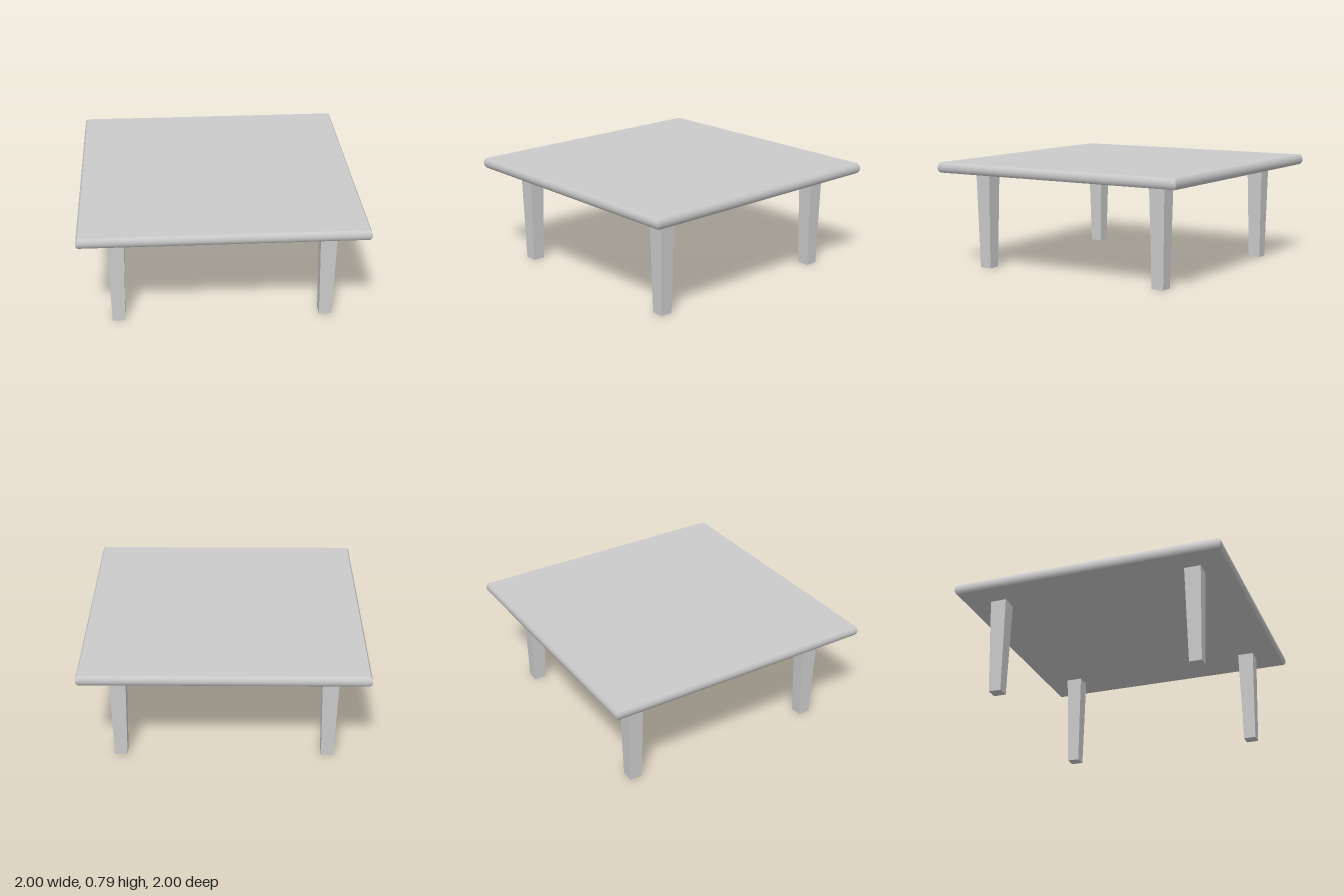
import * as THREE from 'three';
import { toCreasedNormals } from 'three/addons/utils/BufferGeometryUtils.js';

const HEIGHT = 0.79, THICK = 0.075, INSET = 0.015;
const LEG_POS = 0.74, LEG_TOP = 0.06, LEG_FOOT = 0.045;

export function createModel() {
  const group = new THREE.Group();
  group.name = 'table';
  const material = new THREE.MeshStandardMaterial({ color: 0xcccccc });

  // Square slab with a bowed rim and mitred corners: a four-sided lathe
  const half = THICK / 2, midY = HEIGHT - half;
  const radius = (half * half + INSET * INSET) / (2 * INSET);
  const sweep = Math.asin(half / radius), steps = 8;
  const profile = [new THREE.Vector2(0, HEIGHT - THICK)];
  for (let i = 0; i <= steps; i++) {
    const a = sweep * (2 * i / steps - 1);
    const reach = 1 - radius * (1 - Math.cos(a));
    profile.push(new THREE.Vector2(reach * Math.SQRT2, midY + radius * Math.sin(a)));
  }
  profile.push(new THREE.Vector2(0, HEIGHT));
  const slab = new THREE.LatheGeometry(profile, 4, Math.PI / 4);
  const top = new THREE.Mesh(toCreasedNormals(slab, 0.5), material);
  top.name = 'tableTop';
  group.add(top);

  // Four square legs tapering to the foot
  const legHeight = HEIGHT - THICK;
  const legGeometry = toCreasedNormals(
    new THREE.CylinderGeometry(LEG_TOP * Math.SQRT2, LEG_FOOT * Math.SQRT2, legHeight, 4)
      .rotateY(Math.PI / 4), 0.5);
  for (const [x, xName] of [[1, 'Left'], [-1, 'Right']]) {
    for (const [z, zName] of [[1, 'front'], [-1, 'back']]) {
      const leg = new THREE.Mesh(legGeometry, material);
      leg.name = `${zName}${xName}Leg`;
      leg.position.set(x * LEG_POS, legHeight / 2, z * LEG_POS);
      group.add(leg);
    }
  }
  return group;
}
